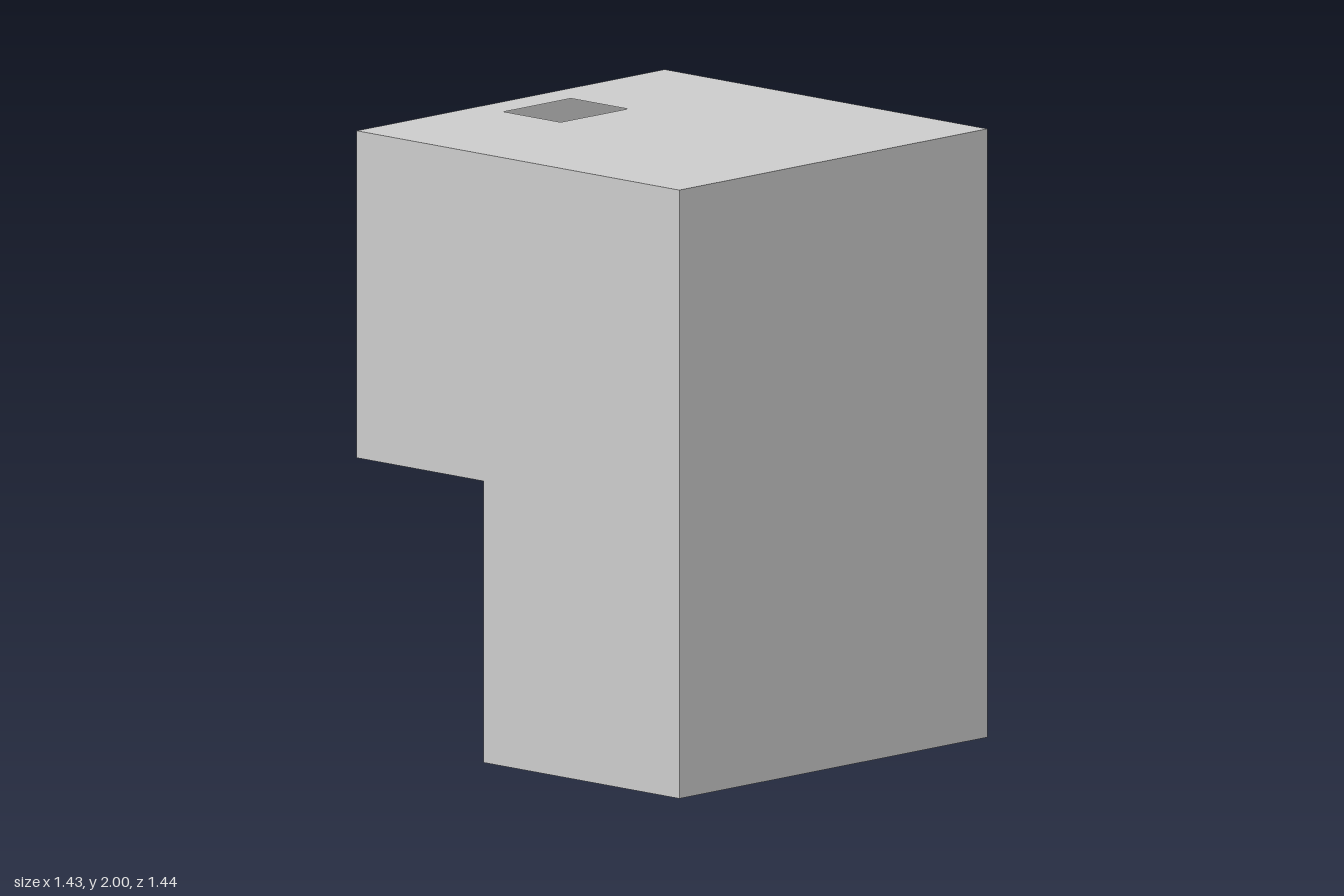
import * as THREE from 'three';

const W = 0.717, D = 0.722, H = 2; // half width, half depth, height
const STEP_Z = -0.155, STEP_Y = 0.925; // inner corner of the rear recess

const material = new THREE.MeshStandardMaterial({
  color: 0xcccccc, flatShading: true, side: THREE.DoubleSide,
});

export function createModel() {
  const group = new THREE.Group();
  const add = (name, geometry) => {
    const mesh = new THREE.Mesh(geometry, material);
    mesh.name = name;
    group.add(mesh);
  };

  // Upright panels (turned to face front or back) and level panels (facing down)
  const upright = (name, y0, y1, z, turn) => add(name,
    new THREE.PlaneGeometry(2 * W, y1 - y0).rotateY(turn).translate(0, (y0 + y1) / 2, z));
  const underside = (name, y, z0, z1) => add(name,
    new THREE.PlaneGeometry(2 * W, z1 - z0).rotateX(Math.PI / 2).translate(0, y, (z0 + z1) / 2));

  upright('frontPanel', 0, H, D, 0);
  upright('upperBackPanel', STEP_Y, H, -D, Math.PI);
  upright('lowerBackPanel', 0, STEP_Y, STEP_Z, Math.PI);
  underside('basePanel', 0, STEP_Z, D);
  underside('overhangPanel', STEP_Y, -D, STEP_Z);

  // Stepped side panels, mirrored
  const profile = [[D, 0], [D, H], [-D, H], [-D, STEP_Y], [STEP_Z, STEP_Y], [STEP_Z, 0]];
  for (const s of [1, -1]) {
    const shape = new THREE.Shape(profile.map(([z, y]) => new THREE.Vector2(-s * z, y)));
    add(s > 0 ? 'leftSidePanel' : 'rightSidePanel',
      new THREE.ShapeGeometry(shape).rotateY(s * Math.PI / 2).translate(s * W, 0, 0));
  }

  // Top panel with a rectangular opening into the hollow body
  const rect = (x0, x1, z0, z1) =>
    [[x0, -z1], [x1, -z1], [x1, -z0], [x0, -z0]].map(([x, y]) => new THREE.Vector2(x, y));
  const top = new THREE.Shape(rect(-W, W, -D, D));
  top.holes.push(new THREE.Path(rect(-0.157, 0.155, -0.602, -0.347)));
  add('topPanel', new THREE.ShapeGeometry(top).rotateX(-Math.PI / 2).translate(0, H, 0));

  return group;
}
